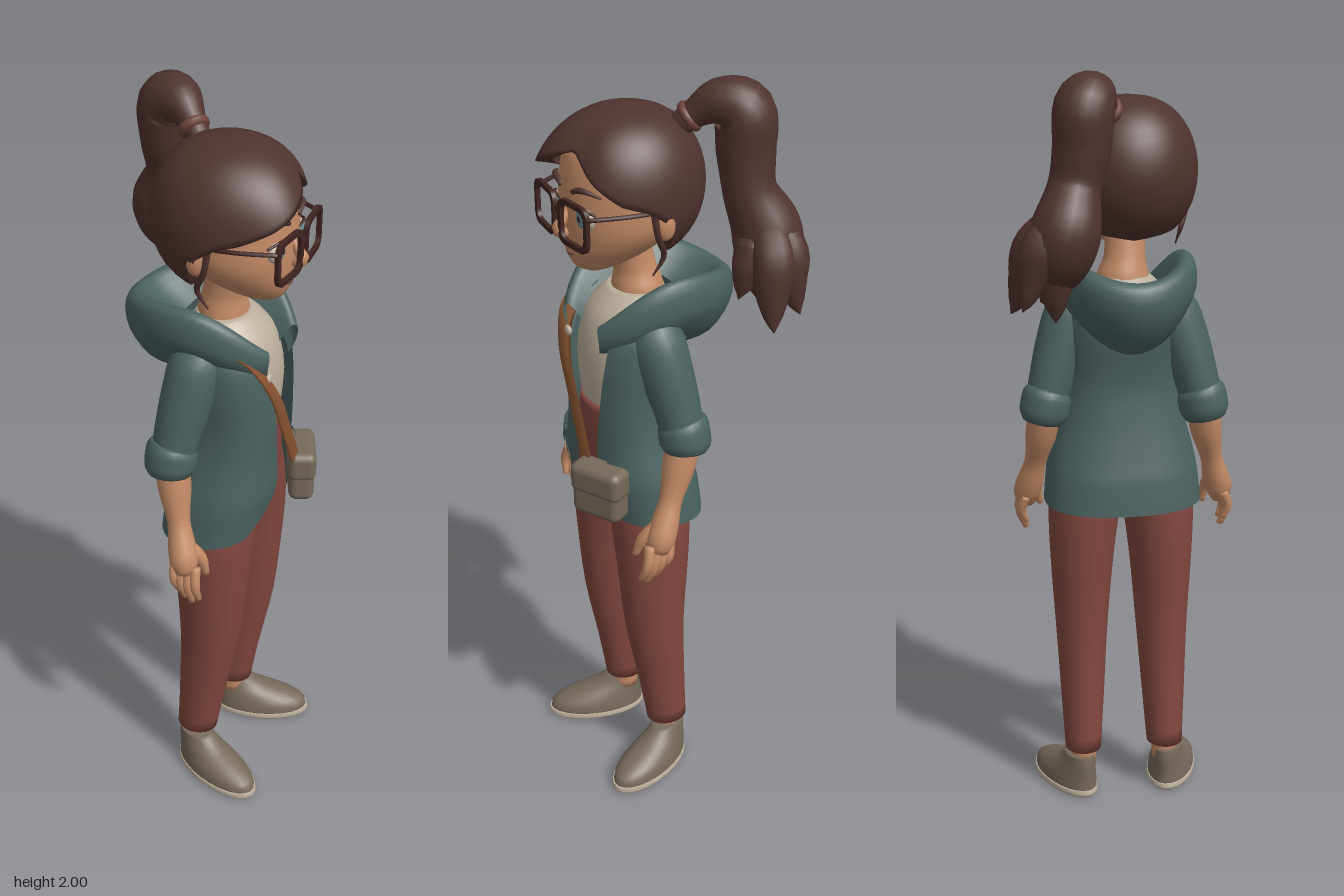
import * as THREE from 'three';
import { RoundedBoxGeometry } from 'three/addons/geometries/RoundedBoxGeometry.js';

const V = (x, y, z) => new THREE.Vector3(x, y, z);
const mat = (name, color, side = THREE.FrontSide) => {
  const m = new THREE.MeshStandardMaterial({ color, side });
  m.name = name;
  return m;
};

// Smooth interpolation of any table of numbers at parameter t (in rows)
function at(rows, t) {
  const n = rows.length - 1, i = Math.min(Math.floor(t), n - 1), f = t - i;
  const r = k => rows[Math.max(0, Math.min(n, k))];
  return rows[0].map((_, c) => {
    const a = r(i - 1)[c], b = r(i)[c], d = r(i + 1)[c], e = r(i + 2)[c];
    return b + 0.5 * f * (d - a + f * (2 * a - 5 * b + 4 * d - e + f * (3 * (b - d) + e - a)));
  });
}

// Skin over rows of points; closed rows wrap around
function skin(rows, closed = true) {
  const m = rows[0].length, idx = [], pos = rows.flat().flatMap(p => [p.x, p.y, p.z]);
  for (let i = 0; i < rows.length - 1; i++)
    for (let j = 0; j < (closed ? m : m - 1); j++) {
      const k = (j + 1) % m, a = i * m + j, b = i * m + k, c = a + m, d = b + m;
      idx.push(a, c, b, b, c, d);
    }
  const g = new THREE.BufferGeometry();
  g.setAttribute('position', new THREE.Float32BufferAttribute(pos, 3));
  g.setIndex(idx);
  g.computeVertexNormals();
  return g;
}

const capped = rows => {
  const mid = r => r.map(() => r.reduce((s, p) => s.add(p), V(0, 0, 0)).divideScalar(r.length));
  return [mid(rows[0]), ...rows, mid(rows.at(-1))];
};

// Stacked ellipses, bottom to top: [y, cx, cz, rx, rz]
function loft(secs, sides = 24, sub = 3) {
  const rows = [];
  for (let i = 0; i <= (secs.length - 1) * sub; i++) {
    const [y, cx, cz, rx, rz] = at(secs, i / sub);
    rows.push(Array.from({ length: sides }, (_, j) => {
      const a = j / sides * Math.PI * 2;
      return V(cx + rx * Math.cos(a), y, cz + rz * Math.sin(a));
    }));
  }
  return skin(capped(rows));
}

// Round limb along a curve: [x, y, z, radius]
function limb(pts, sides = 14, sub = 4) {
  const n = (pts.length - 1) * sub, rows = [];
  const curve = new THREE.CatmullRomCurve3(pts.map(p => V(p[0], p[1], p[2])));
  const { normals, binormals } = curve.computeFrenetFrames(n);
  for (let i = 0; i <= n; i++) {
    const c = curve.getPointAt(i / n), r = at(pts, curve.getUtoTmapping(i / n) * (pts.length - 1))[3];
    rows.push(Array.from({ length: sides }, (_, j) => {
      const a = j / sides * Math.PI * 2;
      return c.clone().addScaledVector(normals[i], r * Math.cos(a)).addScaledVector(binormals[i], -r * Math.sin(a));
    }));
  }
  return skin(capped(rows));
}

export function createModel() {
  const root = new THREE.Group();
  const M = {
    hair: mat('dark brown hair', 0x50332f, THREE.DoubleSide), skin: mat('skin', 0xc48b66),
    jacket: mat('teal jacket', 0x4b6260, THREE.DoubleSide), trousers: mat('rust trousers', 0x83483f),
    cream: mat('cream', 0xbcae9c), canvas: mat('taupe canvas', 0x76695b),
    leather: mat('brown leather', 0x875330, THREE.DoubleSide), frame: mat('dark frames', 0x3f2420),
    iris: mat('blue green iris', 0x6a8f90), tie: mat('muted red brown', 0x6e413a),
  };
  const add = (name, geo, material, parent = root) => {
    const m = new THREE.Mesh(geo, material);
    m.name = name;
    parent.add(m);
    return m;
  };
  const ball = (name, material, p, s) => {
    const m = add(name, new THREE.SphereGeometry(1, 18, 12), material);
    m.position.set(...p);
    m.scale.set(...s);
    return m;
  };

  // Trousers and shoes
  add('trouserTop', loft([[0.87, 0.083, 0, 0.05, 0.04], [0.93, 0.086, 0, 0.092, 0.13], [1, 0.09, 0, 0.112, 0.168],
    [1.1, 0.1, 0, 0.108, 0.14], [1.18, 0.1, 0, 0.106, 0.125]]), M.trousers);
  for (const s of [1, -1]) {
    add('trouserLeg', loft([[0.14, 0.038, 0.117 * s, 0.058, 0.05], [0.3, 0.055, 0.115 * s, 0.068, 0.06],
      [0.5, 0.076, 0.113 * s, 0.085, 0.072], [0.7, 0.08, 0.11 * s, 0.1, 0.087],
      [0.86, 0.083, 0.1 * s, 0.109, 0.099], [0.97, 0.087, 0.078 * s, 0.109, 0.094], [1.06, 0.092, 0.06 * s, 0.095, 0.08]]), M.trousers);
    add('ankle', loft([[0.09, 0.038, 0.117 * s, 0.04, 0.036], [0.16, 0.038, 0.117 * s, 0.04, 0.036]], 16), M.skin);
    const shoe = new THREE.Group();
    shoe.name = 'shoe';
    shoe.position.set(0.032, 0, 0.124 * s);
    shoe.rotation.y = -0.34 * s;
    root.add(shoe);
    add('sole', loft([[0, 0.093, 0, 0.137, 0.062], [0.008, 0.093, 0, 0.144, 0.069], [0.022, 0.093, 0, 0.141, 0.067]]), M.cream, shoe);
    add('shoeUpper', loft([[0.018, 0.092, 0, 0.139, 0.066], [0.045, 0.087, 0, 0.133, 0.062], [0.07, 0.06, 0, 0.107, 0.053],
      [0.095, 0.025, 0, 0.073, 0.043], [0.122, 0.006, 0, 0.05, 0.037]]), M.canvas, shoe);
  }

  // Shirt and neck
  add('shirt', loft([[1.15, 0.1, 0, 0.1, 0.118], [1.3, 0.1, 0, 0.112, 0.13], [1.4, 0.085, 0, 0.107, 0.125],
    [1.45, 0.07, 0, 0.086, 0.1], [1.475, 0.06, 0, 0.068, 0.075]]), M.cream);
  add('neck', loft([[1.42, 0.055, 0, 0.07, 0.075], [1.48, 0.056, 0, 0.064, 0.068], [1.53, 0.06, 0.006, 0.053, 0.054], [1.62, 0.08, 0.012, 0.055, 0.055]]), M.skin);

  // Open jacket with a hem that dips at the back: [y, cx, rx, rz, opening angle at +z, opening angle at -z]
  const coat = [[0.88, 0.065, 0.142, 0.213, 0.6, 0.6], [0.94, 0.074, 0.142, 0.206, 0.2, 0.4],
    [1, 0.085, 0.14, 0.196, 0.08, 0.32], [1.1, 0.094, 0.131, 0.17, 0.12, 0.35], [1.2, 0.1, 0.128, 0.158, 0.2, 0.47],
    [1.32, 0.09, 0.133, 0.163, 0.36, 0.55], [1.4, 0.08, 0.125, 0.155, 0.58, 0.62], [1.46, 0.055, 0.09, 0.11, 0.8, 0.8]];
  const square = v => Math.sign(v) * Math.abs(v) ** 0.82;
  const coatPoint = (t, a, off = 0) => {
    const [y, cx, rx, rz] = at(coat, t);
    const dip = 0.015 * Math.max(0, 1 - t) * (1 - Math.cos(a));
    return V(cx + (rx + off) * square(Math.cos(a)), y - dip, (rz + off) * square(Math.sin(a)));
  };
  const patch = (t0, t1, a0, a1, off, nt = 8, na = 10) => skin(Array.from({ length: nt + 1 }, (_, i) =>
    Array.from({ length: na + 1 }, (_, j) => coatPoint(t0 + (t1 - t0) * i / nt, a0 + (a1 - a0) * j / na, off))), false);
  add('jacketBody', skin(Array.from({ length: 36 }, (_, i) => {
    const t = i / 5, [, , , , a0, a1] = at(coat, t);
    return Array.from({ length: 49 }, (_, j) => coatPoint(t, a0 + (Math.PI * 2 - a1 - a0) * j / 48));
  }), false), M.jacket);
  for (const s of [1, -1]) {
    const range = s > 0 ? [0.45, 1.05] : [-1.2, -0.6];
    add('pocket', patch(0.9, 2.4, ...range, 0.004), M.jacket);
    add('pocketFlap', patch(2.1, 2.6, range[0] - 0.04, range[1] + 0.04, 0.01), M.jacket);
  }
  ball('button', M.cream, [0.216, 1.35, 0.075], [0.008, 0.014, 0.014]);

  // Hood, thin at the lapels: each profile point is [back x, back y, side z, side y, front x, front y]
  const hood = [[-0.045, 1.29, 0.14, 1.38, 0.222, 1.335], [-0.13, 1.305, 0.17, 1.42, 0.236, 1.345],
    [-0.19, 1.385, 0.186, 1.465, 0.246, 1.365], [-0.2, 1.46, 0.178, 1.525, 0.248, 1.38],
    [-0.165, 1.49, 0.15, 1.538, 0.236, 1.388], [-0.1, 1.45, 0.115, 1.49, 0.215, 1.37], [-0.02, 1.41, 0.08, 1.43, 0.19, 1.34]];
  add('hood', skin(Array.from({ length: 19 }, (_, i) => {
    const [bx, by, sz, sy, fx, fy] = at(hood, i / 3);
    return Array.from({ length: 41 }, (_, j) => {
      const a = 0.5 + (Math.PI * 2 - 1) * j / 40, c = Math.cos(a);
      return V((fx + bx) / 2 + (fx - bx) / 2 * c, sy + ((c > 0 ? fy : by) - sy) * c * c, sz * Math.sin(a));
    });
  }), false), M.jacket);

  // Arms; the -z arm swings a little further forward
  for (const s of [1, -1]) {
    const swing = ([x, y, z, r]) => s > 0 ? [x, y, z, r] :
      [x + 0.033 + 0.12 * Math.max(0, 1.1 - y), y, -z + 0.1 * Math.max(0, 1.1 - y), r];
    const arm = (name, pts, m, sides) => add(name, limb(pts.map(swing), sides), m);
    arm('sleeve', [[0.055, 1.42, 0.1, 0.055], [0.048, 1.38, 0.13, 0.07], [0.035, 1.29, 0.165, 0.067],
      [0.022, 1.2, 0.192, 0.06], [0.015, 1.12, 0.212, 0.055]], M.jacket, 18);
    arm('cuff', [[0.016, 1.175, 0.2, 0.058], [0.014, 1.16, 0.205, 0.066], [0.012, 1.115, 0.214, 0.066], [0.013, 1.095, 0.218, 0.056]], M.jacket, 18);
    arm('forearmAndPalm', [[0.015, 1.13, 0.21, 0.045], [0.03, 1.05, 0.225, 0.042], [0.05, 0.97, 0.245, 0.03],
      [0.067, 0.91, 0.262, 0.036], [0.08, 0.87, 0.275, 0.037], [0.086, 0.84, 0.281, 0.026]], M.skin);
    for (let i = 0; i < 4; i++) {
      const x = 0.055 + i * 0.02, len = [0.07, 0.09, 0.1, 0.085][i];
      arm('finger', [[x, 0.865, 0.28, 0.014], [x + 0.007, 0.86 - len * 0.55, 0.297, 0.013],
        [x + 0.012, 0.855 - len, 0.285, 0.008]], M.skin, 8);
    }
    arm('thumb', [[0.082, 0.91, 0.256, 0.018], [0.114, 0.87, 0.245, 0.016], [0.125, 0.82, 0.238, 0.009]], M.skin, 8);
  }

  // Shoulder strap as a flat ribbon, and the bag
  const path = new THREE.CatmullRomCurve3([V(0.1, 1.45, 0.135), V(0.19, 1.39, 0.112), V(0.225, 1.3, 0.07),
    V(0.232, 1.18, 0.014), V(0.237, 1.02, -0.06)]);
  add('strap', skin(Array.from({ length: 21 }, (_, i) => {
    const p = path.getPoint(i / 20);
    return [[-1, 0], [-1, 1], [1, 1], [1, 0]].map(([w, h]) => V(p.x + h * 0.01, p.y + w * 0.011, p.z + w * 0.024));
  })), M.leather);
  const bag = new THREE.Group();
  bag.name = 'bag';
  bag.position.set(0.235, 0.977, -0.11);
  bag.rotation.set(0, 0.45, 0);
  root.add(bag);
  add('bagBody', new RoundedBoxGeometry(0.068, 0.146, 0.143, 4, 0.022), M.canvas, bag);
  add('bagFlap', new RoundedBoxGeometry(0.076, 0.085, 0.15, 4, 0.022), M.canvas, bag).position.y = 0.033;

  // Face
  const zc = 0.012;
  add('face', loft([[1.545, 0.17, zc, 0.03, 0.03], [1.56, 0.152, zc, 0.072, 0.056], [1.6, 0.124, zc, 0.116, 0.104],
    [1.65, 0.1, zc, 0.145, 0.143], [1.7, 0.09, zc, 0.155, 0.156], [1.78, 0.08, zc, 0.16, 0.156],
    [1.85, 0.075, zc, 0.145, 0.14], [1.88, 0.075, zc, 0.1, 0.1]], 32), M.skin);
  add('nose', limb([[0.236, 1.715, zc, 0.008], [0.254, 1.685, zc, 0.012], [0.267, 1.662, zc, 0.016], [0.246, 1.648, zc, 0.013]]), M.skin);
  add('mouth', limb([[0.228, 1.602, zc - 0.034, 0.002], [0.239, 1.594, zc, 0.0035], [0.228, 1.602, zc + 0.034, 0.002]], 8), M.tie);
  for (const s of [1, -1]) {
    const z = zc + 0.062 * s;
    ball('eye', M.cream, [0.224, 1.703, z], [0.015, 0.028, 0.034]);
    ball('iris', M.iris, [0.236, 1.704, z - 0.003 * s], [0.007, 0.023, 0.022]);
    ball('pupil', M.frame, [0.2415, 1.704, z - 0.003 * s], [0.003, 0.008, 0.008]);
    add('eyelid', limb([[0.237, 1.719, z - 0.03 * s, 0.002], [0.24, 1.731, z, 0.004], [0.218, 1.72, z + 0.036 * s, 0.003]], 8), M.frame);
    add('eyebrow', limb([[0.24, 1.762, z - 0.035 * s, 0.006], [0.236, 1.776, z, 0.008], [0.208, 1.766, z + 0.045 * s, 0.003]], 8), M.hair);
    ball('ear', M.skin, [0.07, 1.69, zc + 0.16 * s], [0.028, 0.042, 0.018]).rotation.set(0, 0.4 * s, -0.15);
  }

  // Glasses
  const box = (w, h, r, P = THREE.Shape) => new P().moveTo(-w + r, -h).lineTo(w - r, -h).quadraticCurveTo(w, -h, w, -h + r)
    .lineTo(w, h - r).quadraticCurveTo(w, h, w - r, h).lineTo(-w + r, h).quadraticCurveTo(-w, h, -w, h - r)
    .lineTo(-w, -h + r).quadraticCurveTo(-w, -h, -w + r, -h);
  const rim = box(0.06, 0.058, 0.032);
  rim.holes.push(box(0.047, 0.045, 0.026, THREE.Path));
  const rimGeo = new THREE.ExtrudeGeometry(rim, { depth: 0.011, bevelEnabled: false });
  for (const s of [1, -1]) {
    const r = add('glassesRim', rimGeo, M.frame);
    r.position.set(0.256, 1.696, zc + 0.068 * s);
    r.rotation.y = Math.PI / 2 - 0.1 * s;
    add('glassesTemple', limb([[0.255, 1.728, zc + 0.125 * s, 0.006], [0.17, 1.73, zc + 0.158 * s, 0.006], [0.06, 1.725, zc + 0.168 * s, 0.006]], 6), M.frame);
  }
  add('glassesBridge', new THREE.BoxGeometry(0.01, 0.014, 0.03), M.frame).position.set(0.264, 1.714, zc);

  // Hair cap with a swept fringe; its lower edge follows the angle round the head (degrees, y)
  const edge = [[-180, 1.575], [-108, 1.6], [-92, 1.7], [-78, 1.735], [-60, 1.755], [-35, 1.81], [-14, 1.862], [0, 1.85],
    [20, 1.82], [40, 1.785], [60, 1.755], [78, 1.735], [92, 1.7], [108, 1.6], [180, 1.575]];
  const edgeY = deg => {
    const i = Math.max(1, edge.findIndex(e => e[0] >= deg)), [a, b] = [edge[i - 1], edge[i]];
    return a[1] + (b[1] - a[1]) * (deg - a[0]) / (b[0] - a[0]);
  };
  const bump = (deg, mid, width) => Math.exp(-(((deg - mid) / width) ** 2));
  const hairRows = Array.from({ length: 19 }, (_, i) => Array.from({ length: 90 }, (_, j) => {
    const deg = -180 + j * 4, a = deg * Math.PI / 180, t = Math.min(i, 17) / 17;
    const phi = t * Math.acos((edgeY(deg) - 1.745) / 0.19);
    const sweep = 1 + t * (0.13 * bump(deg, 28, 28) - 0.07 * bump(deg, -22, 14));
    const r = Math.sin(phi) ** 0.8 * sweep * (i === 18 ? 0.8 : 1);
    return V(0.08 + 0.2 * r * Math.cos(a), 1.745 + 0.19 * Math.cos(phi), 0.015 + 0.184 * r * Math.sin(a));
  }));
  add('hairCap', skin(hairRows.reverse()), M.hair);
  for (const s of [1, -1])
    add('looseStrand', limb([[0.1, 1.74, zc + 0.162 * s, 0.009], [0.085, 1.66, zc + 0.162 * s, 0.009],
      [0.06, 1.6, zc + 0.145 * s, 0.007], [0.085, 1.55, zc + 0.135 * s, 0.002]], 8), M.hair);

  // Wavy ponytail with a tie and pointed locks
  const tie = add('hairTie', new THREE.TorusGeometry(0.028, 0.013, 10, 20), M.tie);
  tie.position.set(-0.055, 1.905, -0.06);
  tie.lookAt(-0.12, 1.965, -0.105);
  add('ponytail', limb([[-0.03, 1.88, -0.045, 0.03], [-0.065, 1.915, -0.07, 0.036], [-0.112, 1.942, -0.102, 0.058],
    [-0.158, 1.92, -0.132, 0.076], [-0.163, 1.82, -0.142, 0.072], [-0.165, 1.73, -0.16, 0.067], [-0.2, 1.62, -0.19, 0.088],
    [-0.185, 1.53, -0.212, 0.07], [-0.175, 1.45, -0.235, 0.015]], 20, 6), M.hair);
  for (const [x, y, z] of [[-0.23, 1.44, -0.3], [-0.14, 1.42, -0.318], [-0.2, 1.405, -0.215], [-0.1, 1.48, -0.22]])
    add('ponytailLock', limb([[-0.19, 1.68, -0.18, 0.04], [x * 0.5 - 0.1, 1.59, z * 0.5 - 0.1, 0.055],
      [x * 0.68 - 0.06, y + 0.085, z * 0.68 - 0.068, 0.042], [x * 0.88 - 0.022, y + 0.025, z * 0.88 - 0.025, 0.02], [x, y, z, 0.001]], 12), M.hair);

  return root;
}
